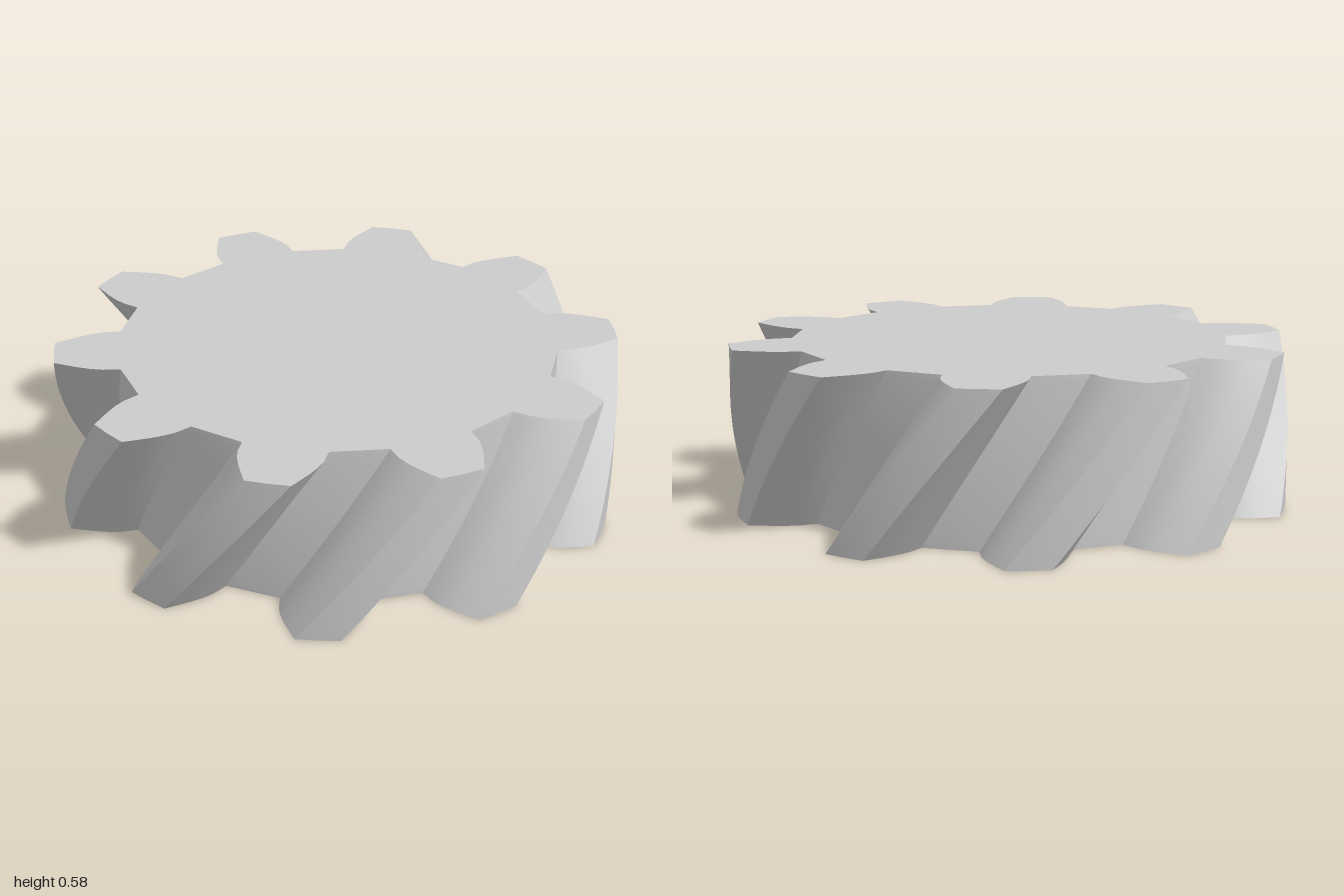
import * as THREE from 'three';
import { toCreasedNormals } from 'three/addons/utils/BufferGeometryUtils.js';

const TEETH = 10;
const HEIGHT = 0.585;
const TWIST = THREE.MathUtils.degToRad(27);
const GAP_ANGLE = 3.6; // centre of the first gap on the top face, in degrees

// Half width of a gap (degrees) at each radius, from tip to root
const FLANK = [
  [1, 13.6], [0.96, 12.2], [0.92, 10.7], [0.88, 9.3], [0.84, 8.2], [0.78, 7.3],
];

// Outline of the gear: convex flanks, flat roots, round tips
function gearShape() {
  const points = [];
  const add = (radius, degrees) => {
    const a = THREE.MathUtils.degToRad(degrees);
    points.push(new THREE.Vector2(radius * Math.sin(a), -radius * Math.cos(a)));
  };
  for (let i = 0; i < TEETH; i++) {
    const centre = GAP_ANGLE + (i * 360) / TEETH;
    for (const [r, half] of FLANK) add(r, centre - half);
    for (const [r, half] of [...FLANK].reverse()) add(r, centre + half);
    add(1, centre + 180 / TEETH); // middle of the tooth tip
  }
  return new THREE.Shape(points);
}

export function createModel() {
  const group = new THREE.Group();
  group.name = 'helicalGear';

  const geometry = new THREE.ExtrudeGeometry(gearShape(), {
    depth: HEIGHT, steps: 24, bevelEnabled: false,
  });
  geometry.rotateX(-Math.PI / 2);

  // Turn each level about the axis so the teeth become helical
  const position = geometry.attributes.position;
  const axis = new THREE.Vector3(0, 1, 0);
  const v = new THREE.Vector3();
  for (let i = 0; i < position.count; i++) {
    v.fromBufferAttribute(position, i);
    v.applyAxisAngle(axis, TWIST * (v.y / HEIGHT - 1));
    position.setXYZ(i, v.x, v.y, v.z);
  }

  const gear = new THREE.Mesh(
    toCreasedNormals(geometry, 0.5),
    new THREE.MeshStandardMaterial({ color: 0xcccccc }),
  );
  gear.name = 'gearBody';
  group.add(gear);
  return group;
}
